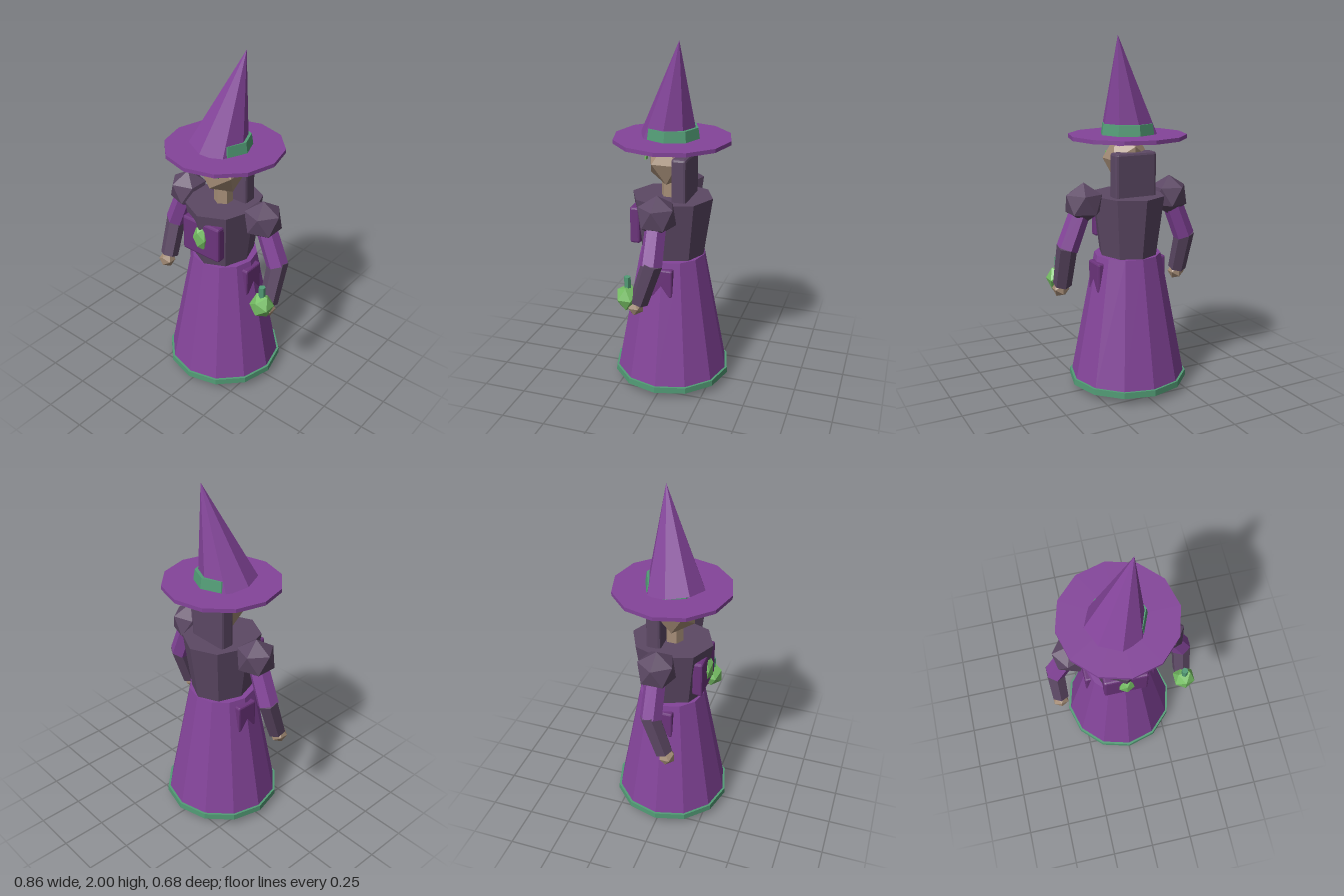
import * as THREE from 'three';
import { RoundedBoxGeometry } from 'three/addons/geometries/RoundedBoxGeometry.js';

export function createModel() {
  const model = new THREE.Group();
  model.name = 'witch';
  const colour = (name, hex) => {
    const m = new THREE.MeshStandardMaterial({ color: hex, flatShading: true });
    m.name = name;
    return m;
  };
  const purple = colour('purple cloth', 0x84449a);
  const panelPurple = colour('deep purple', 0x6c347c);
  const dusk = colour('dusky violet', 0x5c4864);
  const teal = colour('teal green', 0x529c76);
  const lime = colour('potion green', 0x76be64);
  const skin = colour('skin', 0xa48c76);
  const boot = colour('boot black', 0x2a2e36);

  const add = (name, geometry, material, x = 0, y = 0, z = 0) => {
    const mesh = new THREE.Mesh(geometry, material);
    mesh.name = name;
    mesh.position.set(x, y, z);
    model.add(mesh);
    return mesh;
  };
  const tube = (rTop, rBottom, h, sides) => new THREE.CylinderGeometry(rTop, rBottom, h, sides);
  const box = (w, h, d, bevel) => new RoundedBoxGeometry(w, h, d, 1, bevel);
  // cylinder or cone whose axis runs from a (bottom) to b (top)
  const limb = (name, a, b, rTop, rBottom, sides, material) => {
    const from = new THREE.Vector3(...a), to = new THREE.Vector3(...b);
    const dir = to.clone().sub(from);
    const mid = from.clone().add(to).multiplyScalar(0.5);
    const mesh = add(name, tube(rTop, rBottom, dir.length(), sides), material, mid.x, mid.y, mid.z);
    mesh.quaternion.setFromUnitVectors(new THREE.Vector3(0, 1, 0), dir.normalize());
    return mesh;
  };

  // robe
  add('skirt', tube(0.19, 0.33, 0.73, 12), purple, 0, 0.425, 0);
  add('hem', tube(0.34, 0.341, 0.035, 12), teal, 0, 0.0575, 0);
  add('bodice', tube(0.235, 0.185, 0.34, 8), dusk, 0, 0.96, 0).scale.x = 0.87;
  add('chestPanel', box(0.255, 0.215, 0.06, 0.012), panelPurple, 0, 0.968, 0.183);
  add('chestGem', new THREE.IcosahedronGeometry(0.05, 0), lime, 0, 0.975, 0.208).scale.set(1, 1.65, 0.7);
  add('collar', box(0.25, 0.28, 0.085, 0.015), dusk, 0, 1.235, -0.072);

  // head
  add('neck', tube(0.05, 0.055, 0.14, 6), skin, 0, 1.17, 0.01);
  add('head', new THREE.IcosahedronGeometry(0.133, 0), skin, 0, 1.33, 0.015).scale.set(1, 1.08, 1);

  // hat with a leaning cone
  add('hatBrim', tube(0.33, 0.33, 0.022, 12), purple, 0, 1.456, 0);
  add('hatBand', tube(0.146, 0.155, 0.06, 8), teal, 0, 1.497, 0);
  limb('hatCone', [-0.02, 1.455, 0.022], [0.09, 2, -0.065], 0, 0.167, 8, purple);

  for (const [side, s] of [['left', 1], ['right', -1]]) {
    add(side + 'Eye', new THREE.BoxGeometry(0.034, 0.018, 0.009), lime, s * 0.052, 1.35, 0.135);
    add(side + 'Boot', box(0.16, 0.065, 0.3, 0.014), boot, s * 0.135, 0.0325, 0.067);
    add(side + 'Pouch', box(0.05, 0.17, 0.13, 0.01), panelPurple, s * 0.19, 0.672, 0);

    // arm from shoulder to hand
    add(side + 'Shoulder', new THREE.IcosahedronGeometry(0.115, 0), dusk, s * 0.27, 1.1, 0).rotation.z = -s * 0.55;
    limb(side + 'Sleeve', [s * 0.374, 0.85, 0], [s * 0.265, 1.12, 0], 0.058, 0.062, 6, purple);
    limb(side + 'Forearm', [s * 0.375, 0.63, 0.072], [s * 0.375, 0.87, -0.008], 0.058, 0.053, 6, dusk);
    add(side + 'Hand', new THREE.IcosahedronGeometry(0.05, 0), skin, s * 0.378, 0.602, 0.09);
  }

  // potion flask in the left hand
  add('potionFlask', new THREE.IcosahedronGeometry(0.069, 0), lime, 0.375, 0.65, 0.135).scale.y = 1.1;
  add('flaskNeck', tube(0.019, 0.019, 0.08, 6), teal, 0.375, 0.732, 0.135);

  return model;
}
